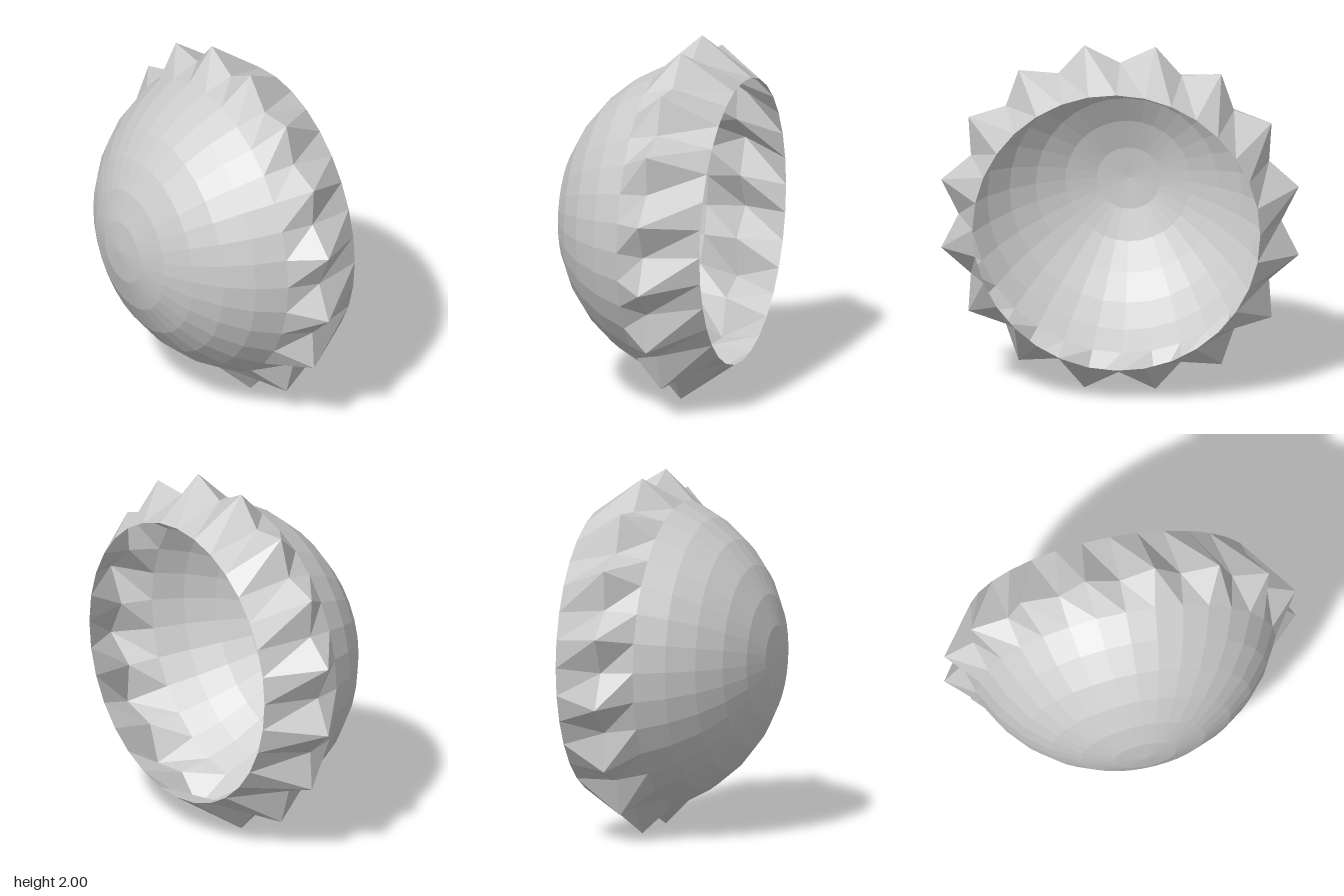
import * as THREE from 'three';

const SIDES = 32;          // every second side line ends in a tooth
const RADIUS = 0.92;       // dome radius
const TIP = 1 / Math.cos(Math.PI / 16);
const TOOTH_RING = 7;

export function createModel() {
  const group = new THREE.Group();
  group.name = 'spikedBowl';

  // Profile from the pole to the open rim: spherical steps, then a narrowed lip
  const profile = [];
  for (let k = 0; k <= TOOTH_RING; k++) {
    const a = (k * Math.PI) / 16;
    profile.push(new THREE.Vector2(RADIUS * Math.sin(a), 0.4 - RADIUS * Math.cos(a)));
  }
  profile.push(new THREE.Vector2(0.805, 0.52));

  const geometry = new THREE.LatheGeometry(profile, SIDES);

  // Pull every second point of the widest ring outwards into a tooth
  const pos = geometry.attributes.position;
  for (let i = 1; i < SIDES; i += 2) {
    const v = i * profile.length + TOOTH_RING;
    const s = TIP / profile[TOOTH_RING].x;
    pos.setX(v, pos.getX(v) * s);
    pos.setZ(v, pos.getZ(v) * s);
  }

  // Lay the axis along x, with the opening towards +x
  geometry.rotateZ(-Math.PI / 2);
  geometry.translate(0, 1, 0);
  geometry.computeVertexNormals();

  const shell = new THREE.Mesh(
    geometry,
    new THREE.MeshStandardMaterial({ color: 0xcccccc, flatShading: true, side: THREE.DoubleSide })
  );
  shell.name = 'toothedShell';
  group.add(shell);
  return group;
}
